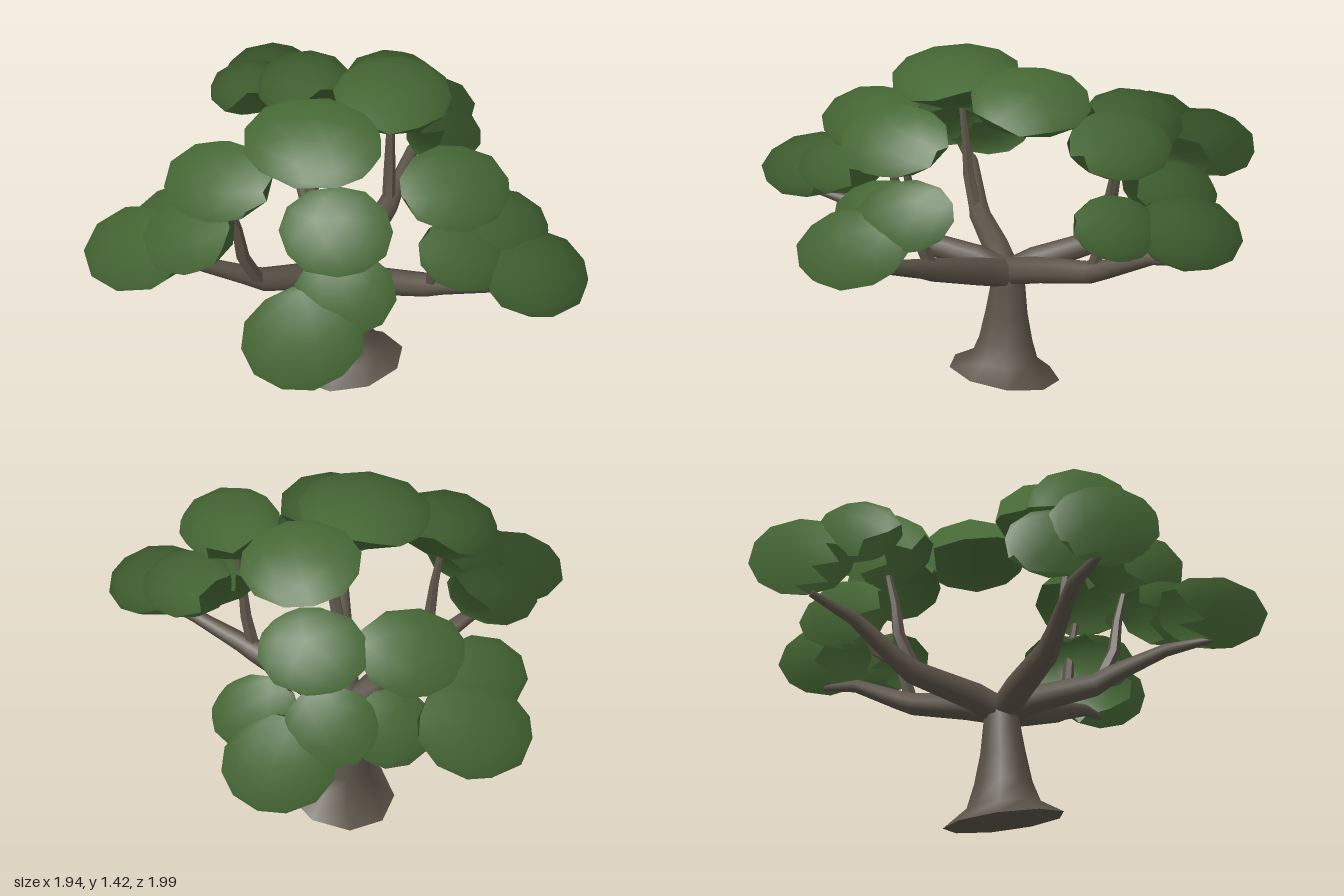
import * as THREE from 'three';
import { toCreasedNormals } from 'three/addons/utils/BufferGeometryUtils.js';

const bark = new THREE.MeshStandardMaterial({ color: 0x5a5247 });
bark.name = 'bark brown';
const leaf = new THREE.MeshStandardMaterial({ color: 0x466835 });
leaf.name = 'leaf green';

// Tapered, capped limb through points [x, y, z, radius]
function limb(name, pts, sides = 8, warp = null) {
  const P = pts.map(p => new THREE.Vector3(p[0], p[1], p[2]));
  const last = P.length - 1;
  const span = P[last].clone().sub(P[0]);
  const ref = new THREE.Vector3(span.z, 0, -span.x);
  if (ref.length() < 0.05) ref.set(1, 0, 0);
  const pos = [], index = [];
  P.forEach((c, i) => {
    const T = P[Math.min(i + 1, last)].clone().sub(P[Math.max(i - 1, 0)]).normalize();
    const N = ref.clone().addScaledVector(T, -ref.dot(T)).normalize();
    const B = T.clone().cross(N);
    for (let j = 0; j < sides; j++) {
      const a = (j / sides) * Math.PI * 2, r = pts[i][3];
      const v = c.clone().addScaledVector(N, r * Math.cos(a)).addScaledVector(B, r * Math.sin(a));
      if (warp) warp(v);
      pos.push(v.x, v.y, v.z);
    }
  });
  const ends = [P[0].clone(), P[last].clone()];
  for (const v of ends) {
    if (warp) warp(v);
    pos.push(v.x, v.y, v.z);
  }
  const c0 = P.length * sides, top = last * sides;
  for (let j = 0; j < sides; j++) {
    const k = (j + 1) % sides;
    for (let i = 0; i < last; i++) {
      const a = i * sides + j, b = i * sides + k;
      index.push(a, b, b + sides, a, b + sides, a + sides);
    }
    index.push(c0, k, j, c0 + 1, top + j, top + k);
  }
  const g = new THREE.BufferGeometry();
  g.setAttribute('position', new THREE.Float32BufferAttribute(pos, 3));
  g.setIndex(index);
  const mesh = new THREE.Mesh(toCreasedNormals(g, 1.0), bark);
  mesh.name = name;
  return mesh;
}

// Squashed leaf clump drooping outward; normals lean away from the crown centre for a soft canopy
const crown = new THREE.Vector3(0, 0.75, 0);
function clump(name, [x, y, z, rx, ry, rz], i) {
  const g = new THREE.IcosahedronGeometry(1, 1);
  g.rotateY(i * 1.7);
  g.rotateX(0.25 * Math.sin(i * 2.3));
  g.scale(rx * 1.045, ry * 1.04, rz * 1.045);
  const p = g.attributes.position, n = g.attributes.normal;
  const v = new THREE.Vector3(), own = new THREE.Vector3();
  for (let k = 0; k < p.count; k++) {
    v.fromBufferAttribute(p, k);
    own.set(v.x / rx, v.y / ry, v.z / rz).normalize();
    v.y -= 0.12 * (v.x * x + v.z * z);
    v.set(v.x + x, v.y + y, v.z + z);
    p.setXYZ(k, v.x, v.y, v.z);
    v.sub(crown).normalize().addScaledVector(own, 0.3).normalize();
    n.setXYZ(k, v.x, v.y, v.z);
  }
  const mesh = new THREE.Mesh(g, leaf);
  mesh.name = name;
  return mesh;
}

export function createModel() {
  const tree = new THREE.Group();
  tree.name = 'tree';

  // Trunk with flared foot cut on a slope
  tree.add(limb('trunk', [
    [-0.02, 0.058, -0.03, 0.235], [-0.02, 0.12, -0.03, 0.145], [-0.025, 0.2, -0.04, 0.115],
    [-0.03, 0.32, -0.05, 0.09], [-0.03, 0.45, -0.06, 0.072], [-0.03, 0.54, -0.06, 0.06],
  ], 9, v => { v.y += 0.22 * v.z * Math.max(0, 1 - Math.max(0, v.y - 0.058) / 0.15); }));

  // Main branches: thick to the fork, then a sharper bend and a thin tip
  const branches = {
    leftBranch: [[-0.03, 0.5, -0.06, 0.06], [0.12, 0.55, -0.08, 0.058], [0.36, 0.605, -0.13, 0.048],
      [0.43, 0.635, -0.15, 0.04], [0.62, 0.73, -0.2, 0.028], [0.77, 0.75, -0.23, 0.014]],
    rightFrontBranch: [[-0.03, 0.49, -0.06, 0.06], [-0.14, 0.55, 0.02, 0.058], [-0.33, 0.605, 0.15, 0.048],
      [-0.4, 0.645, 0.18, 0.04], [-0.58, 0.74, 0.29, 0.028], [-0.75, 0.77, 0.37, 0.014]],
    rightBackBranch: [[-0.03, 0.49, -0.06, 0.06], [-0.15, 0.55, -0.11, 0.058], [-0.35, 0.61, -0.2, 0.048],
      [-0.41, 0.65, -0.24, 0.04], [-0.58, 0.76, -0.36, 0.028], [-0.75, 0.8, -0.43, 0.014]],
    frontBranch: [[-0.03, 0.49, -0.06, 0.06], [-0.02, 0.56, 0.12, 0.058], [0.0, 0.65, 0.36, 0.048],
      [0.01, 0.68, 0.43, 0.04], [0.04, 0.76, 0.63, 0.028], [0.05, 0.78, 0.78, 0.014]],
    backBranch: [[-0.03, 0.49, -0.06, 0.06], [0.03, 0.54, -0.16, 0.058], [0.16, 0.6, -0.38, 0.048],
      [0.19, 0.64, -0.44, 0.04], [0.28, 0.78, -0.6, 0.028], [0.35, 0.84, -0.77, 0.014]],
  };
  for (const [name, pts] of Object.entries(branches)) tree.add(limb(name, pts));

  // Upright twigs from each fork: foot and tip
  const twigs = [
    [[0.37, 0.6, -0.13], [0.44, 1.08, -0.18]],
    [[-0.35, 0.62, 0.16], [-0.42, 1.08, 0.27]],
    [[-0.38, 0.63, -0.2], [-0.5, 1.1, -0.23]],
    [[0, 0.65, 0.37], [-0.04, 1.13, 0.47]],
    [[0.16, 0.62, -0.38], [0.24, 1.06, -0.47]],
    [[0.2, 0.64, -0.42], [0.38, 0.85, -0.49]],
  ];
  twigs.forEach(([a, b], i) => {
    const at = (t, up, r) => [a[0] + (b[0] - a[0]) * t, a[1] + (b[1] - a[1]) * up, a[2] + (b[2] - a[2]) * t, r];
    tree.add(limb(`twig${i + 1}`, [at(0, 0, 0.03), at(0.5, 0.3, 0.026), at(0.65, 0.6, 0.02), at(1, 1, 0.012)], 6));
  });

  // Leaf clumps: centre and radii
  const clumps = {
    crownClump: [
      [-0.265, 1.305, 0.005, 0.235, 0.105, 0.265], [0.185, 1.305, 0.025, 0.225, 0.115, 0.22],
    ],
    rightFrontClump: [
      [-0.46, 1.14, 0.28, 0.195, 0.12, 0.2], [-0.75, 0.885, 0.37, 0.215, 0.12, 0.21],
      [-0.53, 0.955, 0.38, 0.175, 0.115, 0.18],
    ],
    rightBackClump: [
      [-0.53, 1.17, -0.23, 0.19, 0.115, 0.205], [-0.77, 0.9, -0.44, 0.195, 0.125, 0.2],
      [-0.55, 0.9, -0.44, 0.175, 0.11, 0.18], [-0.67, 0.98, -0.27, 0.18, 0.11, 0.17],
    ],
    frontClump: [
      [-0.05, 1.205, 0.5, 0.2, 0.12, 0.195], [0.06, 0.895, 0.8, 0.2, 0.12, 0.195],
      [0.12, 0.98, 0.6, 0.175, 0.115, 0.18], [-0.05, 0.94, 0.57, 0.18, 0.1, 0.175],
    ],
    backClump: [
      [0.25, 1.125, -0.485, 0.195, 0.12, 0.2], [0.375, 0.99, -0.8, 0.2, 0.13, 0.2],
      [0.16, 1.065, -0.72, 0.165, 0.1, 0.16], [0.41, 0.89, -0.49, 0.165, 0.115, 0.15],
    ],
    leftClump: [
      [0.45, 1.15, -0.185, 0.19, 0.12, 0.2], [0.765, 0.875, -0.23, 0.2, 0.12, 0.2],
      [0.59, 0.96, -0.34, 0.17, 0.11, 0.17], [0.595, 0.9, -0.02, 0.16, 0.11, 0.155],
    ],
  };
  let seed = 0;
  for (const [name, list] of Object.entries(clumps)) {
    list.forEach((c, i) => tree.add(clump(`${name}${i + 1}`, c, seed++)));
  }
  return tree;
}
